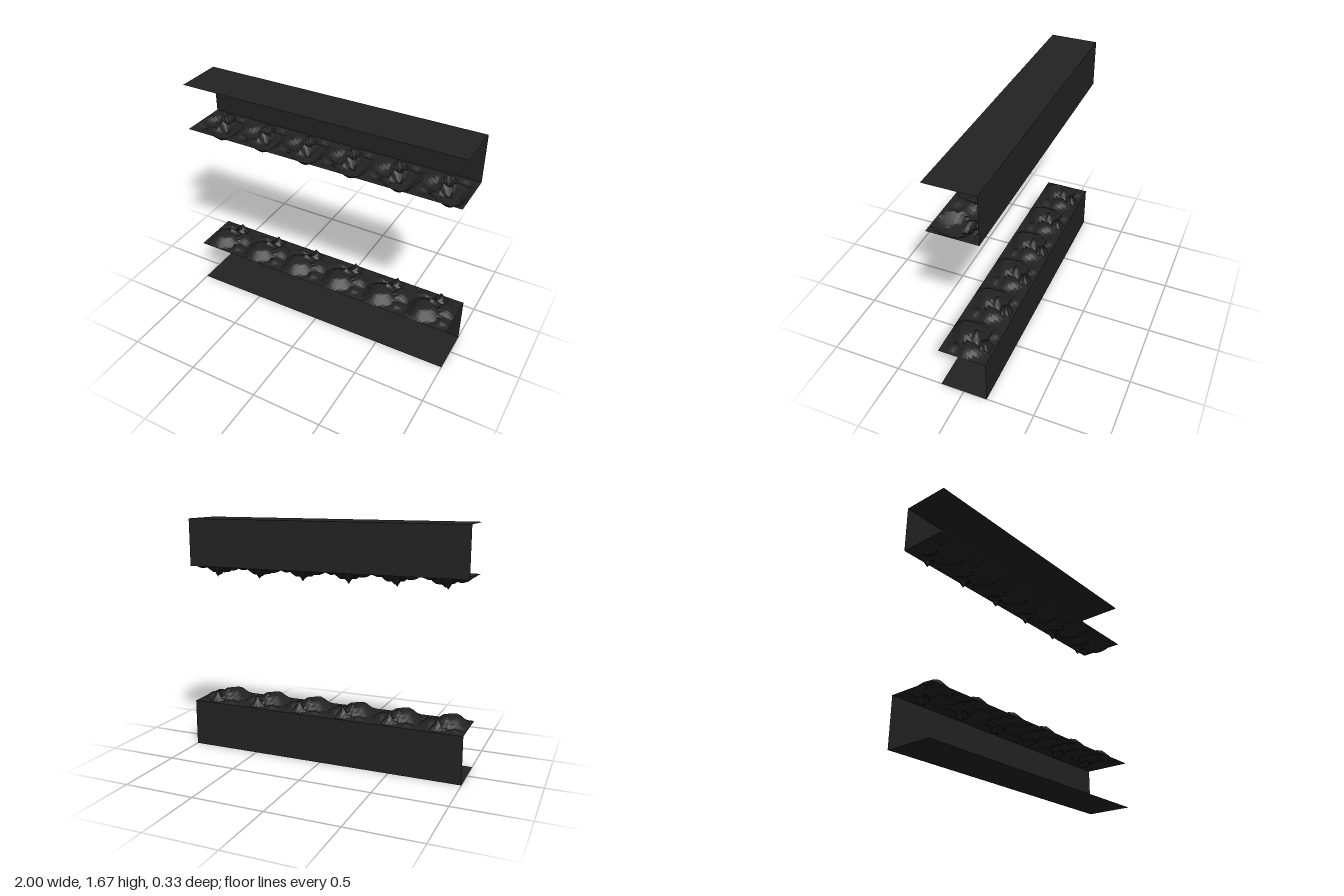
import * as THREE from 'three';

const TILE = 1 / 3, DEPTH = 1 / 3, SEG = 16;

// Rocks on one tile: centre u (from tile's left edge), centre z, radii, height, steepness
const rocks = [
  { u: 0.125, z: 0.045, ru: 0.125, rz: 0.12, h: 0.061, steep: 1.8 },  // main boulder
  { u: 0.15, z: -0.02, ru: 0.08, rz: 0.075, h: 0.075, steep: 1.1 },   // boulder ridge
  { u: 0.1875, z: -0.104, ru: 0.05, rz: 0.04, h: 0.076, steep: 1 },   // sharp spike
  { u: 0.255, z: -0.02, ru: 0.07, rz: 0.09, h: 0.037, steep: 1.6 },   // side lump
  { u: 0.27, z: 0.09, ru: 0.05, rz: 0.05, h: 0.018, steep: 1.3 },     // front pebble
  { u: 0.07, z: -0.115, ru: 0.06, rz: 0.04, h: 0.018, steep: 1.4 },   // back pebble
];

function rockHeight(u, z) {
  let y = 0;
  for (const r of rocks) {
    const du = (u - r.u) / r.ru, dz = (z - r.z) / r.rz;
    // slightly irregular outline
    const d = Math.hypot(du, dz) * (1 + 0.1 * Math.sin(3 * Math.atan2(dz, du) + r.u * 40));
    y = Math.max(y, r.h * Math.min(1 - d * 0.08, r.steep * (1 - d)));
  }
  return y;
}

// Rocky plate tile lying in xz, starting at x = 0
function rockyTile() {
  const g = new THREE.PlaneGeometry(TILE, DEPTH, SEG, SEG);
  g.rotateX(-Math.PI / 2);
  g.translate(TILE / 2, 0, 0);
  const p = g.attributes.position;
  for (let i = 0; i < p.count; i++) {
    const u = p.getX(i), z = p.getZ(i);
    const border = u < 1e-4 || u > TILE - 1e-4 || Math.abs(z) > DEPTH / 2 - 1e-4;
    p.setY(i, border ? 0 : rockHeight(u, z));
  }
  g.computeVertexNormals();
  return g;
}

export function createModel() {
  const model = new THREE.Group();
  model.name = 'rockyCorridorTrim';
  const stone = new THREE.MeshStandardMaterial({ color: 0x232323, side: THREE.DoubleSide, flatShading: true });
  stone.name = 'dark stone';

  const tileGeo = rockyTile();
  const wallGeo = new THREE.PlaneGeometry(2, TILE);
  const plateGeo = new THREE.PlaneGeometry(2, DEPTH).rotateX(Math.PI / 2);

  // Channel: flat plate, back wall, rocky plate; open at the front and ends
  function channel(name) {
    const c = new THREE.Group();
    c.name = name;
    const plate = new THREE.Mesh(plateGeo, stone);
    plate.name = 'flatPlate';
    const wall = new THREE.Mesh(wallGeo, stone);
    wall.name = 'backWall';
    wall.position.set(0, TILE / 2, -DEPTH / 2);
    c.add(plate, wall);
    for (let i = 0; i < 6; i++) {
      const tile = new THREE.Mesh(tileGeo, stone);
      tile.name = 'rockyTile';
      tile.position.set(-1 + i * TILE, TILE, 0);
      c.add(tile);
    }
    return c;
  }

  const floor = channel('floorChannel');
  const ceiling = channel('ceilingChannel');
  ceiling.rotation.z = Math.PI;
  ceiling.position.y = 5 / 3;
  model.add(floor, ceiling);
  return model;
}
